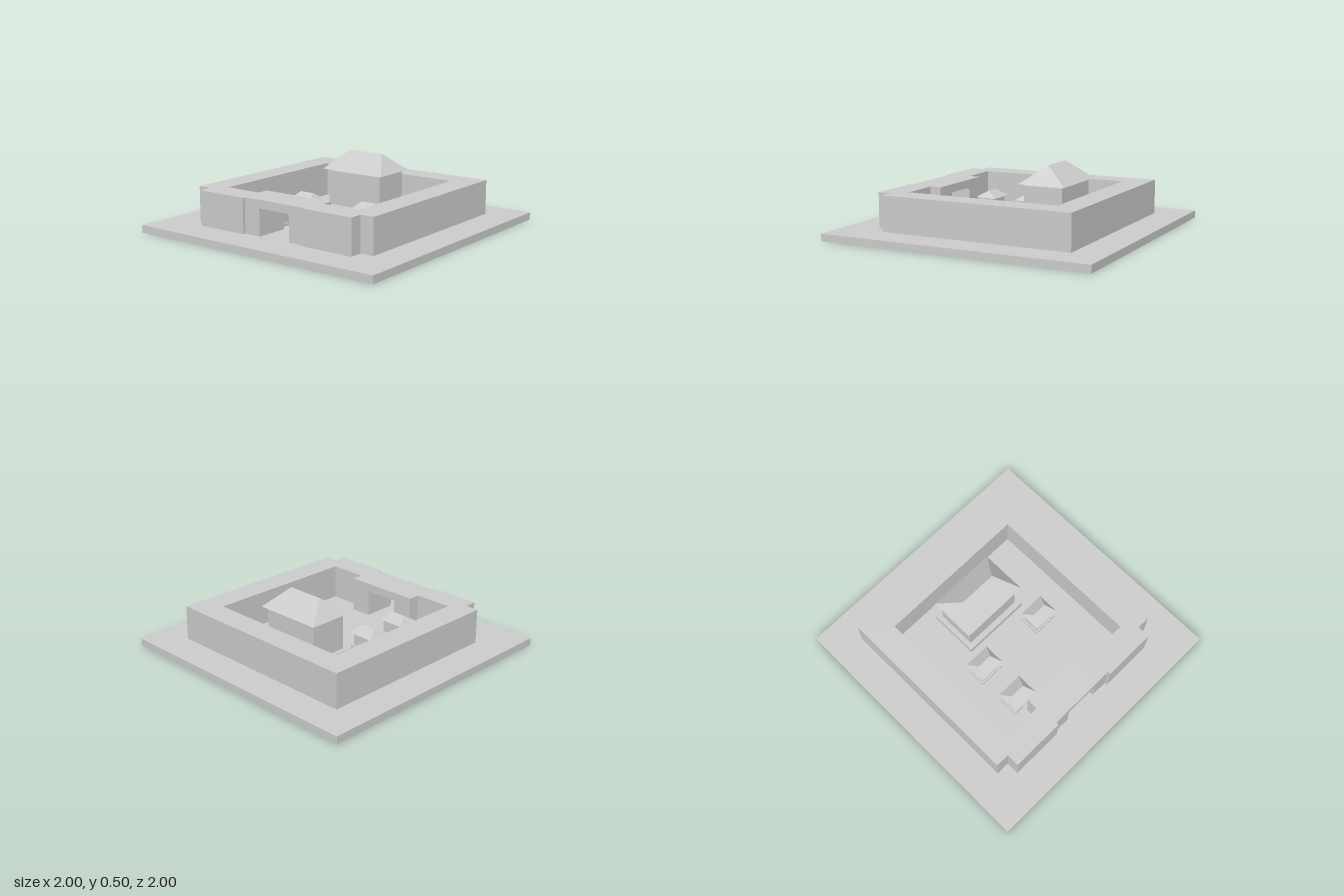
import * as THREE from 'three';

const FLOOR = 0.055, WALL_TOP = 0.31, DOOR_TOP = 0.25;
const DOOR = 0.13, GATE_IN = 0.48, GATE_OUT = 0.735;

// Box given by its centre in plan, its size and its bottom and top
function block(name, x, z, w, d, y0, y1, material) {
  const mesh = new THREE.Mesh(new THREE.BoxGeometry(w, y1 - y0, d), material);
  mesh.name = name;
  mesh.position.set(x, (y0 + y1) / 2, z);
  return mesh;
}

// Hipped roof: a box whose top is drawn in to a ridge along x
function hipRoof(w, d, h, ridge) {
  const geo = new THREE.BoxGeometry(w, h, d);
  const p = geo.attributes.position;
  for (let i = 0; i < p.count; i++) {
    if (p.getY(i) > 0) p.setXYZ(i, Math.sign(p.getX(i)) * ridge / 2, h / 2, 0);
  }
  geo.computeVertexNormals();
  return geo;
}

// Building on a low plinth with a hipped roof just above its walls
function building(name, o, material) {
  const group = new THREE.Group();
  group.name = name;
  group.position.set(o.x, 0, o.z);
  group.add(block('plinth', 0, 0, o.plinth[0], o.plinth[1], FLOOR, o.plinthTop, material));
  group.add(block('walls', 0, 0, o.body[0], o.body[1], o.plinthTop, o.bodyTop, material));
  const h = o.ridgeY - o.eaveY;
  const roof = new THREE.Mesh(hipRoof(o.roof[0], o.roof[1], h, o.ridge), material);
  roof.name = 'roof';
  roof.position.y = o.eaveY + h / 2;
  group.add(roof);
  return group;
}

export function createModel() {
  const model = new THREE.Group();
  model.name = 'walledCourtyard';
  const stone = new THREE.MeshStandardMaterial({ color: 0xcccccc });
  stone.name = 'light grey';

  model.add(block('groundSlab', 0, 0, 2, 2, 0, FLOOR, stone));

  // Enclosing wall, open at the gate: half the plan from door to rear, then mirrored
  const outer = [[DOOR, GATE_OUT], [0.26, GATE_OUT], [0.26, 0.755], [0.66, 0.755],
    [0.66, 0.66], [0.76, 0.66], [0.76, -0.76]];
  const inner = [[DOOR, GATE_IN], [0.285, GATE_IN], [0.285, 0.565], [0.57, 0.565], [0.57, -0.575]];
  const mirror = (pts) => pts.map(([x, z]) => [-x, z]).reverse();
  const plan = [...outer, ...mirror(outer), ...inner.map(([x, z]) => [-x, z]), ...[...inner].reverse()];
  const wallGeo = new THREE.ExtrudeGeometry(
    new THREE.Shape(plan.map(([x, z]) => new THREE.Vector2(x, -z))),
    { depth: WALL_TOP - FLOOR, bevelEnabled: false });
  wallGeo.rotateX(-Math.PI / 2);
  const wall = new THREE.Mesh(wallGeo, stone);
  wall.name = 'enclosingWall';
  wall.position.y = FLOOR;
  model.add(wall);

  // Lintel over the passage, with slightly eased corners
  const r = 0.008;
  const lintelShape = new THREE.Shape([[-DOOR, DOOR_TOP - r], [-DOOR + r, DOOR_TOP], [DOOR - r, DOOR_TOP],
    [DOOR, DOOR_TOP - r], [DOOR, WALL_TOP], [-DOOR, WALL_TOP]].map(([x, y]) => new THREE.Vector2(x, y)));
  const lintel = new THREE.Mesh(new THREE.ExtrudeGeometry(lintelShape,
    { depth: GATE_OUT - GATE_IN, bevelEnabled: false }), stone);
  lintel.name = 'gateLintel';
  lintel.position.z = GATE_IN;
  model.add(lintel);

  // Main hall
  model.add(building('mainHall', {
    x: 0, z: -0.303, plinth: [0.525, 0.372], plinthTop: 0.105,
    body: [0.455, 0.288], bodyTop: 0.36,
    roof: [0.52, 0.348], eaveY: 0.373, ridgeY: 0.503, ridge: 0.285,
  }, stone));

  // Side pavilions
  for (const [name, x, z] of [['rightPavilion', -0.28, 0.043], ['leftPavilion', 0.275, 0.043],
    ['gatePavilion', -0.272, 0.365]]) {
    model.add(building(name, {
      x, z, plinth: [0.195, 0.155], plinthTop: 0.075,
      body: [0.165, 0.125], bodyTop: 0.168,
      roof: [0.2, 0.165], eaveY: 0.172, ridgeY: 0.222, ridge: 0.112,
    }, stone));
  }
  return model;
}
